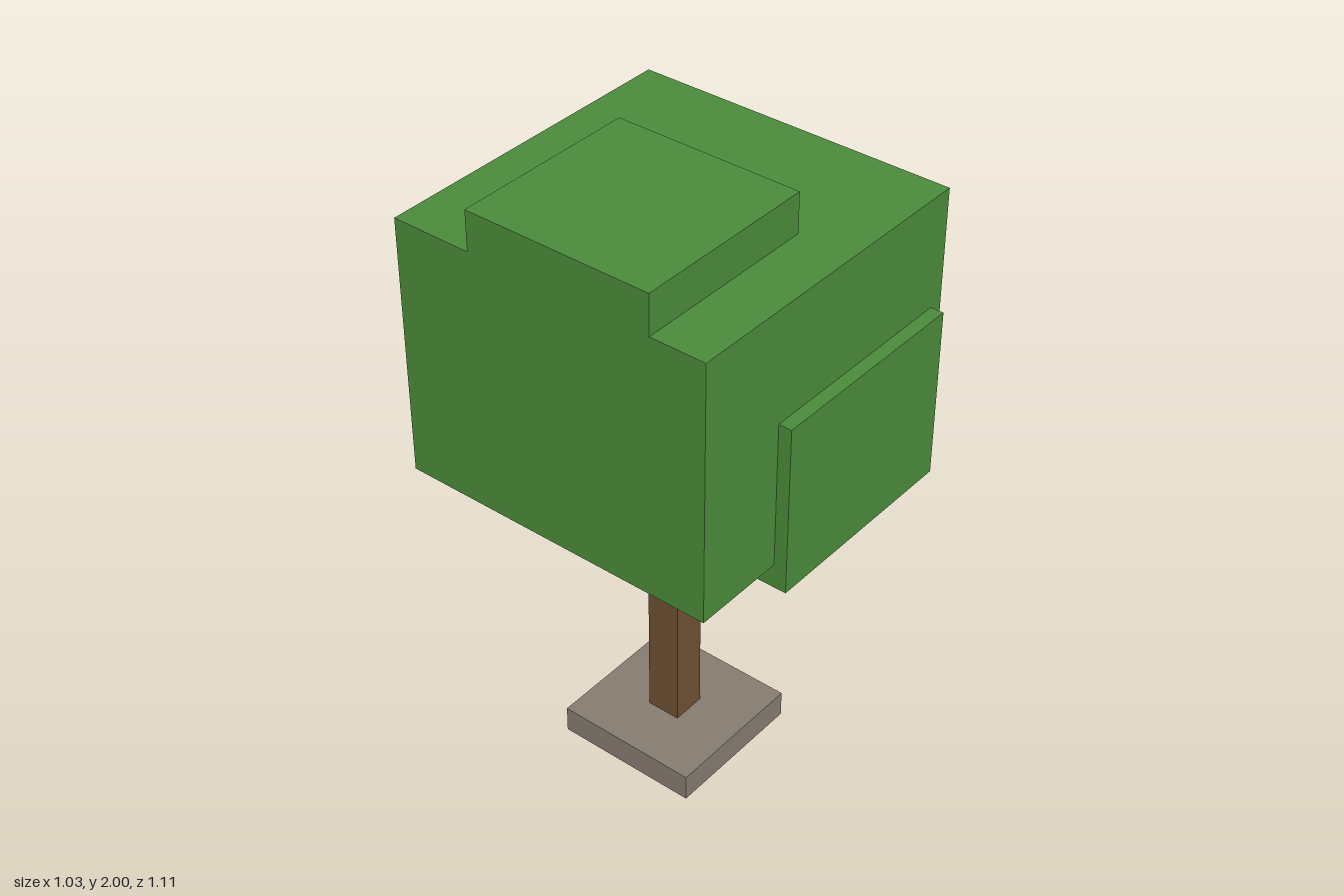
import * as THREE from 'three';

export function createModel() {
  const tree = new THREE.Group();
  tree.name = 'tree';

  const material = (name, color) => {
    const m = new THREE.MeshStandardMaterial({ color });
    m.name = name;
    return m;
  };
  const leaf = material('leafGreen', 0x4a8a3a);
  const bark = material('barkBrown', 0x6e5033);
  const stone = material('stoneGrey', 0x857b70);

  // Box given by its extents along each axis
  const block = (name, mat, [x0, x1], [y0, y1], [z0, z1]) => {
    const mesh = new THREE.Mesh(new THREE.BoxGeometry(x1 - x0, y1 - y0, z1 - z0), mat);
    mesh.position.set((x0 + x1) / 2, (y0 + y1) / 2, (z0 + z1) / 2);
    mesh.name = name;
    tree.add(mesh);
  };

  // Base slab and trunk
  block('base', stone, [-0.235, 0.235], [0, 0.088], [-0.235, 0.235]);
  block('trunk', bark, [-0.055, 0.055], [0.088, 1.1], [-0.055, 0.055]);

  // Foliage: large crown with three smaller offset clumps
  block('crown', leaf, [-0.516, 0.516], [1.053, 1.875], [-0.516, 0.516]);
  block('topClump', leaf, [-0.516, 0.083], [1.875, 2], [-0.258, 0.341]);
  block('frontClump', leaf, [-0.215, 0.47], [0.975, 1.52], [-0.128, 0.557]);
  block('backClump', leaf, [-0.43, 0.255], [1.017, 1.562], [-0.557, 0.128]);

  return tree;
}
